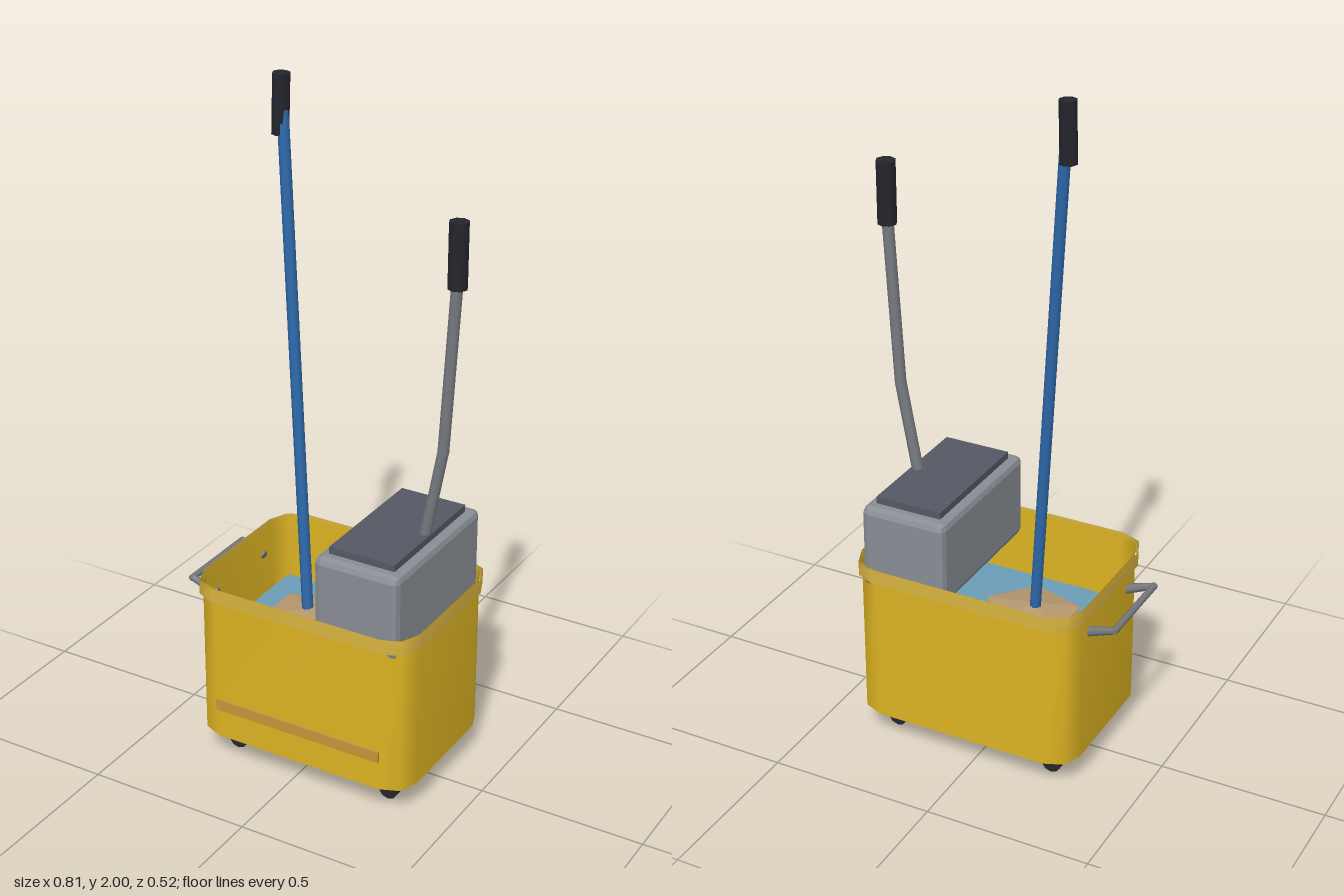
import * as THREE from 'three';
import { RoundedBoxGeometry } from 'three/addons/geometries/RoundedBoxGeometry.js';

const mat = (name, color, extra = {}) => {
  const m = new THREE.MeshStandardMaterial({ color, ...extra });
  m.name = name;
  return m;
};

export function createModel() {
  const root = new THREE.Group();
  root.name = 'mopBucket';
  const two = { side: THREE.DoubleSide };
  const flat = { flatShading: true };
  const yellow = mat('bucketYellow', 0xdcb322, two);
  const rimYellow = mat('rimYellow', 0xd9b441, two);
  const ochre = mat('stripOchre', 0xc5963c);
  const waterBlue = mat('waterBlue', 0x6c9db8, two);
  const tan = mat('mopTan', 0xb5986f, flat);
  const blue = mat('handleBlue', 0x2e69ab);
  const black = mat('gripBlack', 0x25252d);
  const grey = mat('wringerGrey', 0x898e95, flat);
  const slate = mat('plateSlate', 0x555963);
  const steel = mat('steelGrey', 0x777b81);

  const add = (name, geo, material, x = 0, y = 0, z = 0) => {
    const m = new THREE.Mesh(geo, material);
    m.name = name;
    m.position.set(x, y, z);
    root.add(m);
    return m;
  };

  // Round bar between two points
  const bar = (name, a, b, r0, r1, material, sides = 8) => {
    const p = new THREE.Vector3(...a), q = new THREE.Vector3(...b);
    const d = q.clone().sub(p);
    const m = add(name, new THREE.CylinderGeometry(r1, r0, d.length(), sides), material);
    m.position.copy(p).addScaledVector(d, 0.5);
    m.quaternion.setFromUnitVectors(new THREE.Vector3(0, 1, 0), d.normalize());
    return m;
  };

  // Outline of a rectangle with two-step rounded corners
  const CX = 0.03;
  const outline = (hx, hz, r) => {
    const pts = [];
    [[1, 1], [-1, 1], [-1, -1], [1, -1]].forEach(([sx, sz], c) => {
      for (let i = 0; i <= 2; i++) {
        const a = (c + i / 2) * Math.PI / 2;
        pts.push([CX + sx * (hx - r) + r * Math.cos(a), sz * (hz - r) + r * Math.sin(a)]);
      }
    });
    return pts;
  };

  // Open upright wall following an outline
  const wall = (pts, y0, y1) => {
    const pos = [], idx = [], n = pts.length;
    pts.forEach(([x, z]) => pos.push(x, y0, z, x, y1, z));
    for (let i = 0; i < n; i++) {
      const a = 2 * i, b = 2 * ((i + 1) % n);
      idx.push(a, a + 1, b, b, a + 1, b + 1);
    }
    const g = new THREE.BufferGeometry();
    g.setAttribute('position', new THREE.Float32BufferAttribute(pos, 3));
    g.setIndex(idx);
    g.computeVertexNormals();
    return g;
  };

  // Bucket: wall, floor and rim band
  const body = outline(0.348, 0.253, 0.08);
  add('bucketWall', wall(body, 0.085, 0.575), yellow);
  const floorShape = new THREE.Shape(body.map(([x, z]) => new THREE.Vector2(x, z)));
  add('bucketFloor', new THREE.ShapeGeometry(floorShape).rotateX(Math.PI / 2), yellow, 0, 0.085, 0);
  add('bucketRim', wall(outline(0.357, 0.262, 0.085), 0.535, 0.58), rimYellow);
  add('frontStrip', new THREE.BoxGeometry(0.54, 0.035, 0.008), ochre, 0.03, 0.195, 0.256);

  // Water and mop
  add('water', new THREE.PlaneGeometry(0.65, 0.46).rotateX(-Math.PI / 2), waterBlue, CX, 0.375, 0);
  const head = new THREE.IcosahedronGeometry(0.162, 0)
    .rotateX(-Math.atan((1 + Math.sqrt(5)) / 2)).rotateY(Math.PI / 2).scale(1, 0.25, 0.88);
  add('mopHead', head, tan, -0.075, 0.397, 0);
  bar('mopHandle', [-0.083, 0.38, 0], [-0.209, 1.96, -0.083], 0.017, 0.017, blue);
  bar('mopGrip', [-0.213, 1.83, -0.081], [-0.209, 2, -0.083], 0.025, 0.025, black);

  // Wringer with its top plate and bent lever
  add('wringer', new RoundedBoxGeometry(0.265, 0.26, 0.49, 1, 0.02), grey, 0.2125, 0.637, 0);
  add('wringerPlate', new THREE.BoxGeometry(0.205, 0.024, 0.41), slate, 0.2125, 0.776, 0);
  bar('leverLower', [0.295, 0.77, 0], [0.347, 1.05, 0], 0.017, 0.017, steel);
  bar('leverUpper', [0.347, 1.045, 0], [0.377, 1.56, 0], 0.017, 0.017, steel);
  bar('leverGrip', [0.377, 1.53, 0], [0.377, 1.715, 0], 0.028, 0.028, black);

  // Carrying handle at the end
  for (const s of [-1, 1]) {
    bar('handleArm', [-0.315, 0.482, s * 0.127], [-0.4, 0.511, s * 0.133], 0.015, 0.01, steel, 6);
  }
  bar('handleBar', [-0.398, 0.51, -0.139], [-0.398, 0.51, 0.139], 0.01, 0.01, steel, 6);

  // Casters
  for (const x of [-0.225, 0.285]) {
    for (const z of [-0.16, 0.16]) {
      add('casterStem', new THREE.CylinderGeometry(0.024, 0.024, 0.036, 8), steel, x, 0.068, z);
      add('casterWheel', new THREE.CylinderGeometry(0.03, 0.03, 0.024, 10).rotateX(Math.PI / 2),
        black, x, 0.03, z);
    }
  }
  return root;
}
